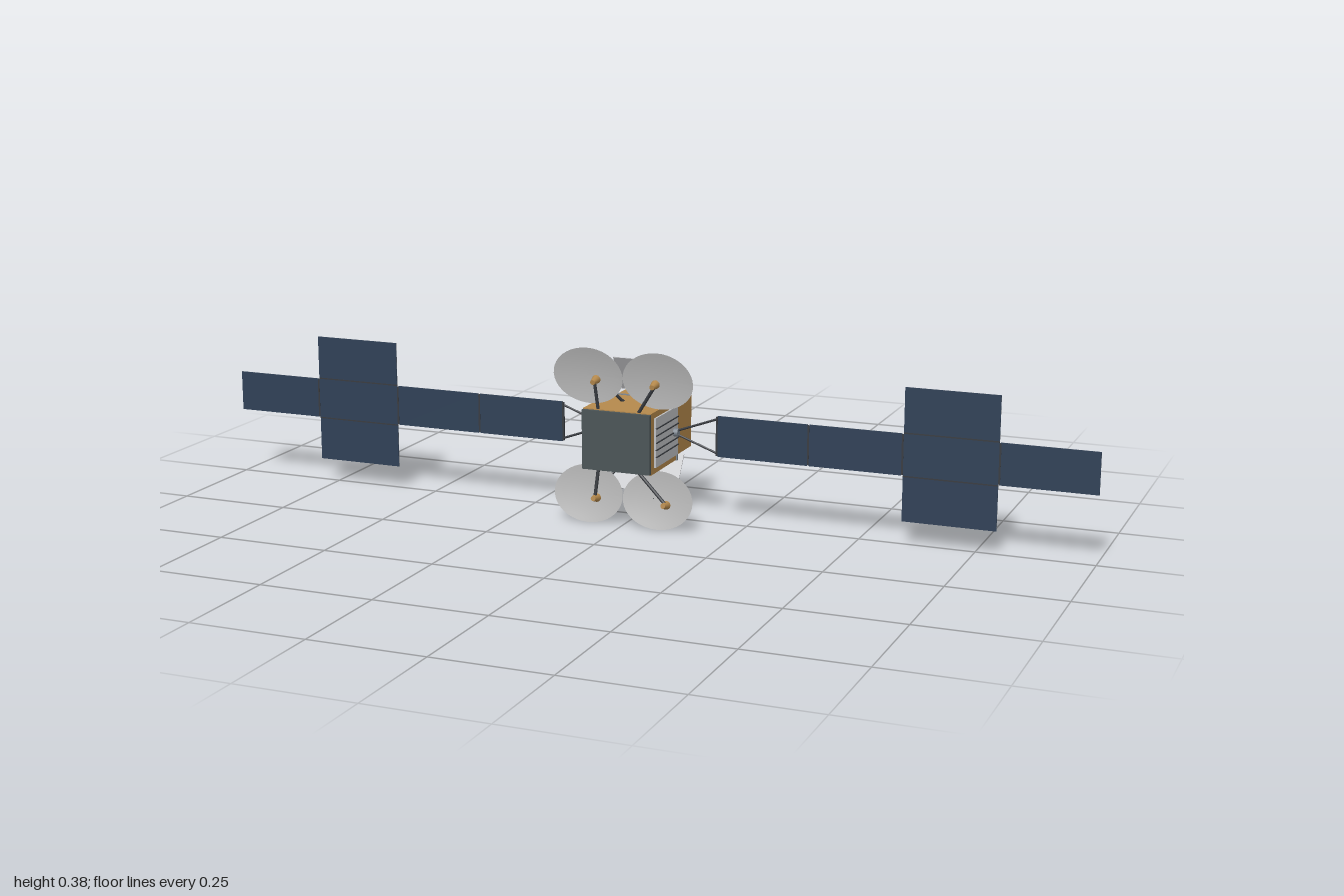
import * as THREE from 'three';

const C = 0.194; // height of the long axis

function mat(name, color, side = THREE.FrontSide) {
  const m = new THREE.MeshStandardMaterial({ color, side });
  m.name = name;
  return m;
}

export function createModel() {
  const foil = mat('goldFoil', 0xb5894c);
  const cells = mat('solarCells', 0x2f4056);
  const backing = mat('panelBacking', 0x868b92);
  const dark = mat('darkStruts', 0x383b40);
  const plate = mat('frontPlate', 0x4b5557);
  const white = mat('radiatorGrey', 0xbfc0c3);
  const dishGrey = mat('dishGrey', 0xb8b8b8, THREE.DoubleSide);
  const metal = mat('ringMetal', 0x7c858f);

  const model = new THREE.Group();

  const add = (parent, name, geo, material, x = 0, y = 0, z = 0) => {
    const mesh = new THREE.Mesh(geo, material);
    mesh.name = name;
    mesh.position.set(x, y, z);
    parent.add(mesh);
    return mesh;
  };
  const box = (parent, name, material, w, h, d, x, y, z) =>
    add(parent, name, new THREE.BoxGeometry(w, h, d), material, x, y, z);
  // Tapered rod between two points
  const rod = (parent, name, material, a, b, r0, r1 = r0, sides = 8) => {
    const p = new THREE.Vector3(...a), q = new THREE.Vector3(...b);
    const dir = q.clone().sub(p);
    const mesh = add(parent, name, new THREE.CylinderGeometry(r1, r0, dir.length(), sides), material);
    mesh.position.copy(p).add(q).multiplyScalar(0.5);
    mesh.quaternion.setFromUnitVectors(new THREE.Vector3(0, 1, 0), dir.normalize());
    return mesh;
  };

  // Body: front bus, collar, rear box
  const body = new THREE.Group();
  body.name = 'body';
  model.add(body);
  box(body, 'mainBus', foil, 0.156, 0.134, 0.146, 0, C, 0.052);
  box(body, 'frontPlate', plate, 0.156, 0.13, 0.008, 0, C, 0.128);
  box(body, 'collar', metal, 0.16, 0.137, 0.007, 0, C, -0.0235);
  box(body, 'rearBox', foil, 0.146, 0.121, 0.099, 0, C, -0.0755);

  // Docking ring on the back
  const profile = [[0.034, 0], [0.034, 0.009], [0.038, 0.012], [0.038, 0.008], [0.042, 0.008],
    [0.042, 0.014], [0.05, 0.014], [0.05, 0.011], [0.052, 0.011], [0.052, 0]];
  const ringGeo = new THREE.LatheGeometry(profile.map(p => new THREE.Vector2(...p)).reverse(), 40).toNonIndexed();
  ringGeo.computeVertexNormals();
  const ringMat = mat('ringFace', 0x7c858f, THREE.DoubleSide);
  add(body, 'dockingRing', ringGeo, ringMat, 0, C, -0.125).rotation.x = -Math.PI / 2;

  // Side radiators with dark ribs
  for (const s of [-1, 1]) {
    box(body, 'sideRadiator', white, 0.005, 0.108, 0.128, s * 0.0795, C, 0.043);
    for (let i = -2; i <= 2; i++)
      box(body, 'radiatorRib', dark, 0.004, 0.002, 0.128, s * 0.0825, C + i * 0.0155, 0.043);
  }

  // Tilted rear radiators above and below
  for (const s of [-1, 1]) {
    const panel = new THREE.Group();
    panel.name = 'rearRadiator';
    for (const x of [-1, 1]) box(panel, 'radiatorHalf', white, 0.0735, 0.093, 0.002, x * 0.0375, 0, 0);
    box(panel, 'radiatorSeam', dark, 0.0015, 0.093, 0.001, 0, 0, 0);
    panel.position.set(0, C + s * 0.1075, -0.0555);
    panel.rotation.x = s * Math.atan2(0.048, 0.079);
    model.add(panel);
    // hinge arms from the rear box
    for (const x of [-0.05, 0.05])
      rod(model, 'radiatorArm', dark, [x, C + s * 0.059, -0.088], [x, C + s * 0.07, -0.079], 0.0015);
  }

  // Four offset dishes with support struts and feed horns
  for (const sy of [-1, 1]) for (const sx of [-1, 1]) {
    const antenna = new THREE.Group();
    antenna.name = 'dishAntenna';
    model.add(antenna);
    const geo = new THREE.RingGeometry(0.0005, 1, 40, 7);
    const pos = geo.attributes.position;
    for (let i = 0; i < pos.count; i++) {
      const x = pos.getX(i) * 0.08, y = pos.getY(i) * 0.0625;
      const dy = y * sy + 0.055;
      pos.setXYZ(i, x, y, 1.39 * (x * x + dy * dy));
    }
    geo.computeVertexNormals();
    add(antenna, 'dish', geo, dishGrey, sx * 0.08, C + sy * 0.13, 0.08);
    rod(antenna, 'dishStrut', dark, [sx * 0.022, C + sy * 0.064, 0.032],
      [sx * 0.068, C + sy * 0.13, 0.082], 0.0035);

    const hx = sx < 0 ? -0.05 : sy > 0 ? 0.085 : 0.11;
    const hy = C + sy * 0.1285;
    rod(antenna, 'feedBoom', dark, [sx * 0.045, C + sy * 0.062, 0.119], [hx, hy - sy * 0.004, 0.127], 0.0037);
    rod(antenna, 'feedHorn', foil, [hx, hy + sy * 0.0015, 0.117], [hx, hy - sy * 0.0015, 0.138], 0.0095, 0.0055, 12);
  }

  // Solar wings: navy cells in front, grey backing behind
  const solarPanel = (parent, w, h, x, y) => {
    box(parent, 'cellFace', cells, w, h, 0.0015, x, y, 0.00075);
    box(parent, 'panelBack', backing, w, h, 0.0015, x, y, -0.00075);
    for (const r of [-1, 1]) for (let i = 0; i < 6; i++)
      box(parent, 'backStud', dark, 0.004, 0.004, 0.001, x + (i - 2.5) * w / 6, y + r * h * 0.36, -0.0018);
  };
  for (const s of [-1, 1]) {
    const wing = new THREE.Group();
    wing.name = s > 0 ? 'leftWing' : 'rightWing';
    model.add(wing);
    const hub = rod(wing, 'wingHub', metal, [s * 0.078, C, 0], [s * 0.092, C, 0], 0.009, 0.009, 16);
    hub.name = 'wingHub';
    for (const t of [-1, 1])
      rod(wing, 'yokeArm', dark, [s * 0.088, C + t * 0.004, 0], [s * 0.181, C + t * 0.038, 0], 0.0025);
    box(wing, 'yokeBar', dark, 0.004, 0.086, 0.005, s * 0.18, C, 0);
    const edges = [0.18, 0.385, 0.59, 0.795, 1];
    for (let i = 0; i < 4; i++) {
      const w = edges[i + 1] - edges[i] - 0.004;
      const x = s * (edges[i] + edges[i + 1]) / 2;
      solarPanel(wing, i === 3 ? w + 0.004 : w, 0.09, x, C);
      if (i > 0) box(wing, 'hinge', dark, 0.004, 0.086, 0.004, s * edges[i], C, 0);
      // Extra panels above and below the third
      if (i === 2) for (const t of [-1, 1]) {
        solarPanel(wing, w, 0.096, x, C + t * 0.0955);
        box(wing, 'hinge', dark, w, 0.003, 0.004, x, C + t * 0.0463, 0);
      }
    }
  }
  return model;
}
